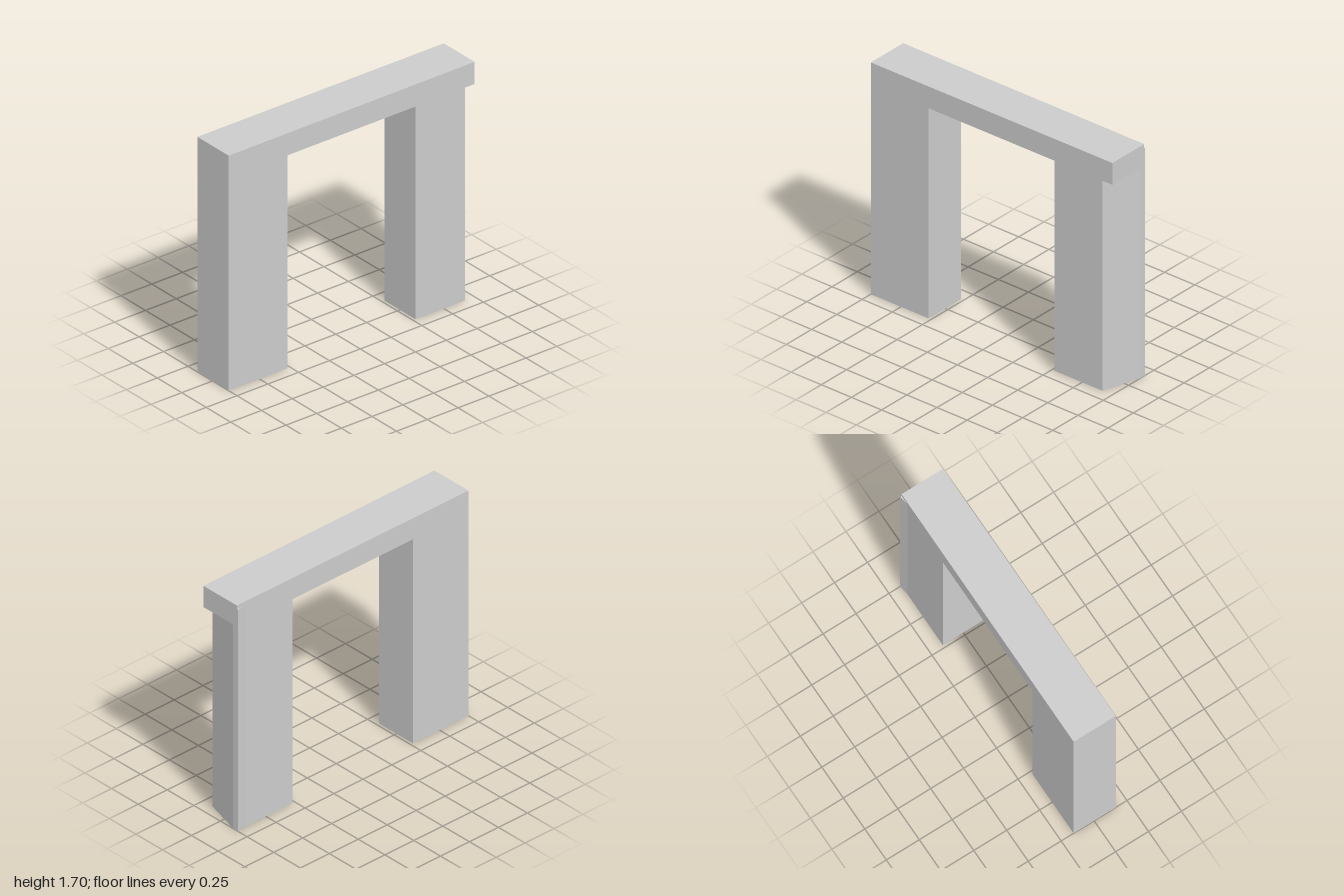
import * as THREE from 'three';

const material = new THREE.MeshStandardMaterial({ color: 0xcccccc, flatShading: true });

function extrude(name, points, depth) {
  const shape = new THREE.Shape(points.map(([x, y]) => new THREE.Vector2(x, y)));
  const geometry = new THREE.ExtrudeGeometry(shape, { depth, bevelEnabled: false });
  const mesh = new THREE.Mesh(geometry, material);
  mesh.name = name;
  return mesh;
}

export function createModel() {
  const group = new THREE.Group();
  group.name = 'gateway';

  // Two posts and the lintel, with a notch under the lintel's left end
  const frame = extrude('postsAndLintel', [
    [-1, 0], [-0.52, 0], [-0.52, 1.54], [0.52, 1.54], [0.52, 0],
    [0.92, 0], [0.92, 1.54], [1, 1.54], [1, 1.7], [-1, 1.7],
  ], 0.32);
  frame.geometry.translate(0, 0, -0.155);

  // The front is very slightly out of square towards the left post
  const position = frame.geometry.attributes.position;
  for (let i = 0; i < position.count; i++) {
    if (position.getZ(i) > 0) position.setZ(i, 0.1625 - 0.0025 * position.getX(i));
  }
  frame.geometry.computeVertexNormals();

  // Splayed outer side of the left post; its back corner stands proud of the wall.
  // Plan corners are [x, -z], raised upwards after extruding.
  const splay = extrude('splayedPostSide', [
    [0.92, -0.16], [1, 0.12], [1, 0.165], [0.93, 0.155], [0.92, 0.155],
  ], 1.67);
  splay.geometry.rotateX(-Math.PI / 2);

  group.add(frame, splay);
  return group;
}
